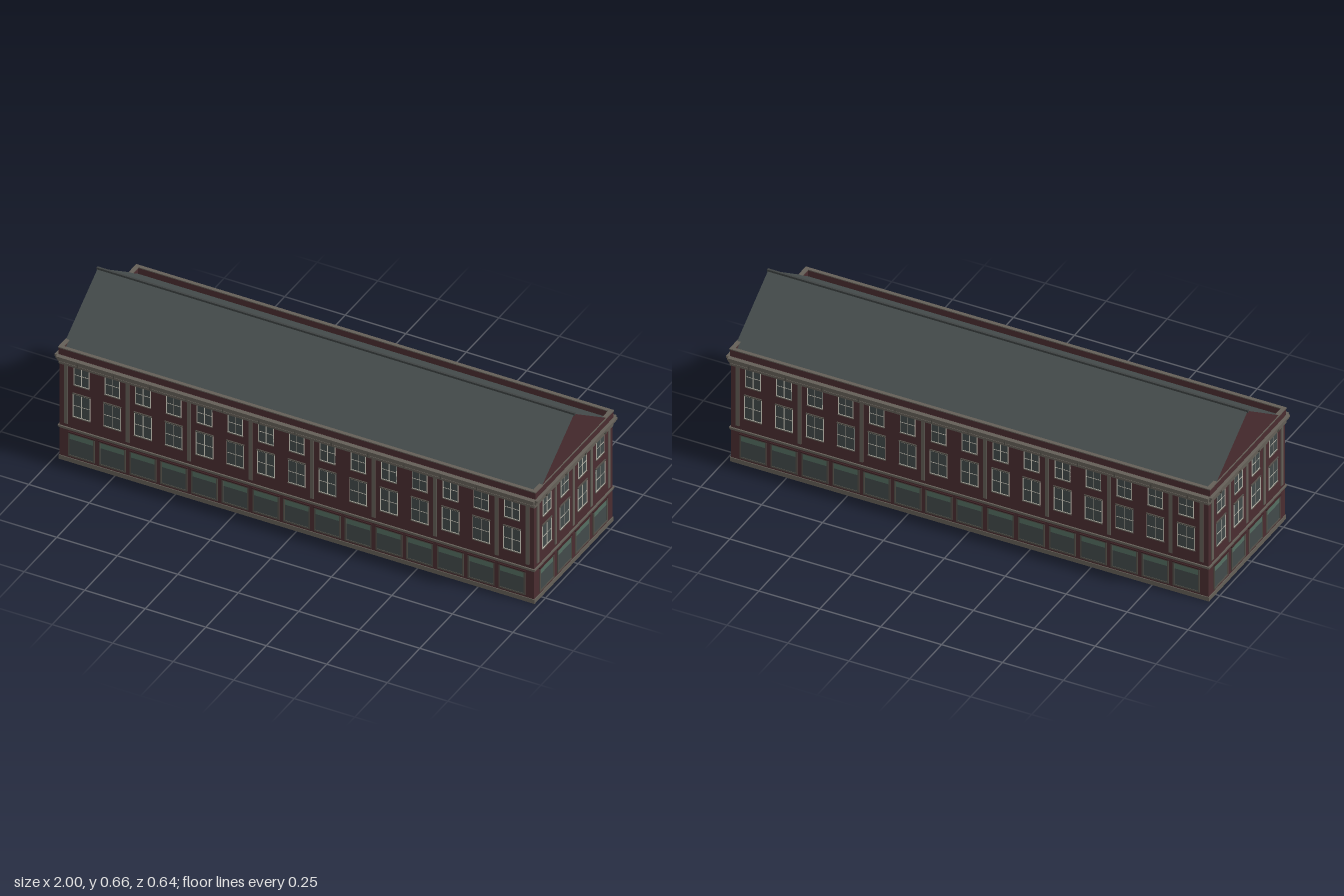
import * as THREE from 'three';
import { mergeGeometries } from 'three/addons/utils/BufferGeometryUtils.js';

const paint = (name, color) => {
  const m = new THREE.MeshStandardMaterial({ color });
  m.name = name;
  return m;
};

export function createModel() {
  const mat = {
    brick: paint('dark red brick', 0x4a2d30),
    lintel: paint('deep red lintel', 0x3c2225),
    stone: paint('grey stone', 0x645f57),
    frame: paint('shop frame grey', 0x524f48),
    glass: paint('dark glass', 0x424a4a),
    transom: paint('green transom glass', 0x546e61),
    sash: paint('pale sash', 0xbcb9ad),
    roof: paint('slate roof', 0x464d4d),
    ridge: paint('ridge grey', 0x3e4242),
  };
  const model = new THREE.Group();
  model.name = 'building';
  const HX = 0.98, HZ = 0.3;

  const add = (name, geometry, material, parent = model) => {
    const mesh = new THREE.Mesh(geometry, material);
    mesh.name = name;
    parent.add(mesh);
    return mesh;
  };
  const slab = (name, material, w, y0, y1, d) =>
    add(name, new THREE.BoxGeometry(w, y1 - y0, d).translate(0, (y0 + y1) / 2, 0), material);

  // One facade: local x runs along the wall, z points outwards from it
  function facade(name, half, bays, pitch, pilasterStep) {
    const group = new THREE.Group();
    group.name = name;
    const parts = {};
    // Box centred on x, between two heights, standing out of the wall by "out"
    const box = (part, material, x, w, y0, y1, out) => {
      const g = new THREE.BoxGeometry(w, y1 - y0, out + 0.004);
      g.translate(x, (y0 + y1) / 2, (out - 0.004) / 2);
      (parts[part] ??= { material, list: [] }).list.push(g);
    };
    // Four bars around an opening
    const border = (part, material, x, w, y0, y1, t, out) => {
      for (const s of [-1, 1]) box(part, material, x + s * (w - t) / 2, t, y0, y1, out);
      box(part, material, x, w - 2 * t, y0, y0 + t, out);
      box(part, material, x, w - 2 * t, y1 - t, y1, out);
    };
    const sashWindow = (x, w, y0, y1) => {
      const mid = (y0 + y1) / 2;
      box('windowGlass', mat.glass, x, w, y0, y1, 0.001);
      border('windowSash', mat.sash, x, w, y0, y1, 0.0025, 0.003);
      box('windowSash', mat.sash, x, 0.0022, y0, y1, 0.0024);
      box('windowSash', mat.sash, x, w, mid - 0.001, mid + 0.001, 0.0022);
    };

    for (let i = 0; i < bays; i++) {
      const x = (i - (bays - 1) / 2) * pitch;
      // Shop window with green upper lights
      box('shopGlass', mat.glass, x, 0.104, 0.027, 0.101, 0.001);
      box('shopTransom', mat.transom, x, 0.104, 0.101, 0.129, 0.001);
      border('shopFrame', mat.frame, x, 0.11, 0.026, 0.13, 0.006, 0.003);
      box('shopLintel', mat.lintel, x, 0.114, 0.129, 0.1335, 0.005);
      // Upper storeys
      sashWindow(x, 0.072, 0.205, 0.306);
      box('windowHead', mat.frame, x, 0.074, 0.306, 0.31, 0.005);
      box('windowSill', mat.stone, x, 0.074, 0.202, 0.2055, 0.004);
      sashWindow(x, 0.063, 0.346, 0.437);
      box('windowSill', mat.stone, x, 0.065, 0.343, 0.3465, 0.004);
    }

    // Pilasters between the bays
    for (let i = 0; i <= bays; i++) {
      if (i % pilasterStep && i !== bays) continue;
      box('pilaster', mat.stone, (i - bays / 2) * pitch, 0.0145, 0.165, 0.425, 0.0035);
    }

    // Horizontal mouldings
    box('stringCourse', mat.stone, 0, 2 * half + 0.006, 0.141, 0.146, 0.004);
    box('stringCourse', mat.stone, 0, 2 * half + 0.008, 0.146, 0.151, 0.006);
    box('band', mat.stone, 0, 2 * half + 0.004, 0.423, 0.432, 0.0045);
    box('cornice', mat.stone, 0, 2 * half + 0.006, 0.437, 0.443, 0.009);
    box('cornice', mat.stone, 0, 2 * half + 0.01, 0.443, 0.452, 0.013);
    box('cornice', mat.stone, 0, 2 * half + 0.014, 0.452, 0.46, 0.018);

    // Small brackets below the cornice
    const n = Math.round((2 * half) / 0.15);
    for (let i = 0; i < n; i++) {
      box('corniceBracket', mat.frame, (i - (n - 1) / 2) * 0.15, 0.005, 0.434, 0.45, 0.0145);
    }

    for (const [part, { material, list }] of Object.entries(parts)) {
      add(part, mergeGeometries(list), material, group);
    }
    model.add(group);
    return group;
  }

  // Main walls and plinth
  slab('walls', mat.brick, 2 * HX, 0.01, 0.461, 2 * HZ);
  slab('plinth', mat.stone, 2 * HX + 0.006, 0, 0.018, 2 * HZ + 0.006);

  facade('frontFacade', HX, 15, 0.127, 2).position.z = HZ;
  const back = facade('backFacade', HX, 15, 0.127, 2);
  back.rotation.y = Math.PI;
  back.position.z = -HZ;
  for (const s of [-1, 1]) {
    const side = facade(s > 0 ? 'leftFacade' : 'rightFacade', HZ, 4, 0.1365, 1);
    side.rotation.y = s * Math.PI / 2;
    side.position.x = s * HX;
  }

  // Parapet and coping: rectangular rings around the roof
  const ring = (name, material, ox, oz, ix, iz, y0, y1) => {
    const rect = (S, x, z) => new S([[-x, -z], [x, -z], [x, z], [-x, z]].map(p => new THREE.Vector2(...p)));
    const shape = rect(THREE.Shape, ox, oz);
    shape.holes.push(rect(THREE.Path, ix, iz));
    const g = new THREE.ExtrudeGeometry(shape, { depth: y1 - y0, bevelEnabled: false });
    add(name, g.rotateX(-Math.PI / 2).translate(0, y0, 0), material);
  };
  ring('parapet', mat.brick, 0.985, 0.299, 0.972, 0.288, 0.458, 0.488);
  ring('coping', mat.stone, 0.987, 0.301, 0.97, 0.286, 0.488, 0.492);

  // Gabled roof: brick end walls, slate slopes
  const gable = new THREE.Shape([[-0.289, 0.4605], [0.289, 0.4605], [0, 0.657]].map(p => new THREE.Vector2(...p)));
  const roof = new THREE.ExtrudeGeometry(gable, { depth: 1.968, bevelEnabled: false });
  roof.translate(0, 0, -0.984).rotateY(Math.PI / 2);
  add('gabledRoof', roof, [mat.brick, mat.roof]);
  slab('ridgeCap', mat.ridge, 1.974, 0.651, 0.662, 0.009);

  return model;
}
